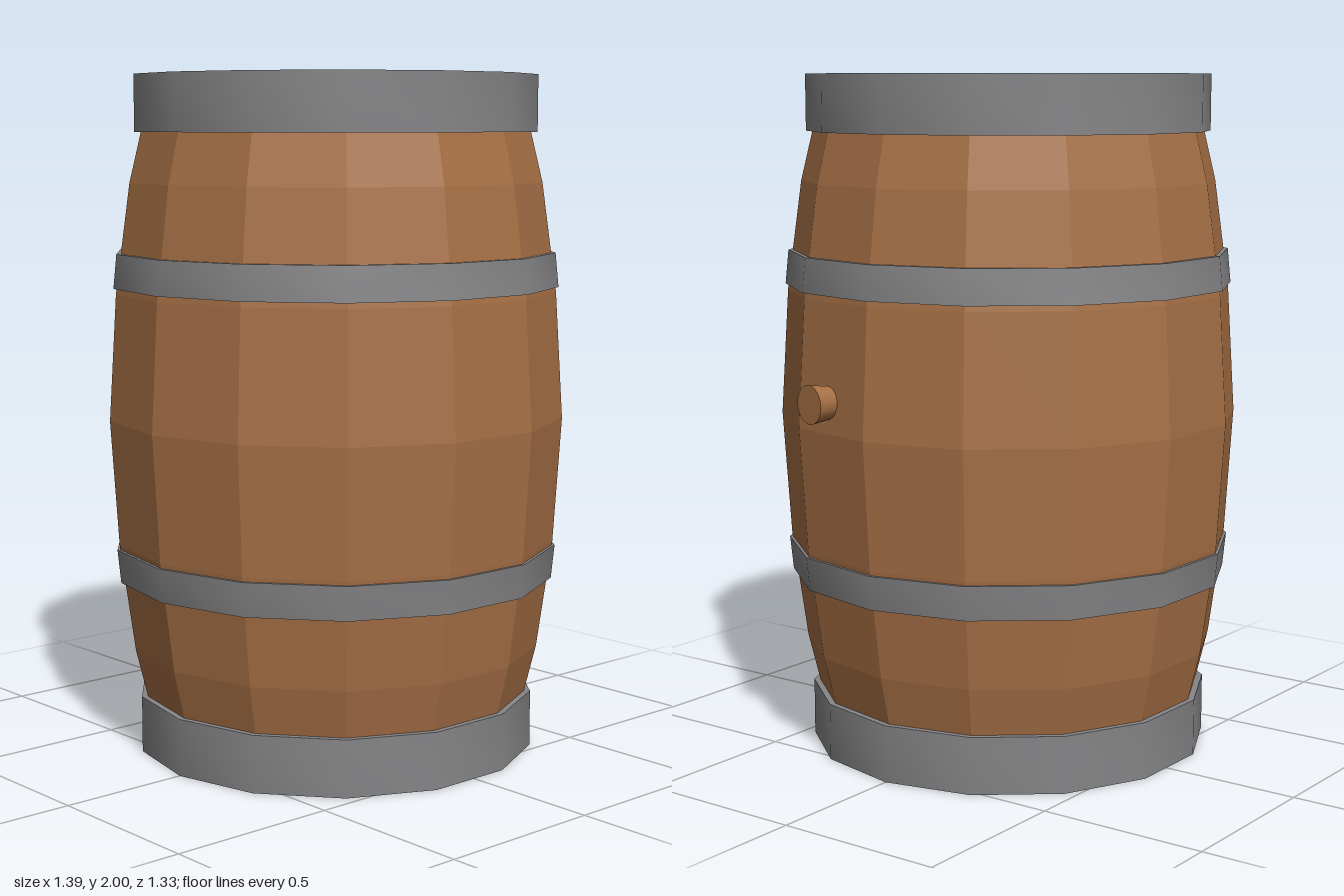
import * as THREE from 'three';
import { toCreasedNormals } from 'three/addons/utils/BufferGeometryUtils.js';

const SIDES = 14;

// Fourteen-sided lathe with a corner pointing along +x
function turned(points) {
  return new THREE.LatheGeometry(points.map(([r, y]) => new THREE.Vector2(r, y)), SIDES, Math.PI / 2);
}

export function createModel() {
  const wood = new THREE.MeshStandardMaterial({ color: 0xa87146, flatShading: true });
  wood.name = 'wood';
  const iron = new THREE.MeshStandardMaterial({ color: 0x858587 });
  iron.name = 'iron';

  const barrel = new THREE.Group();
  barrel.name = 'barrel';

  function add(name, geometry, material) {
    const mesh = new THREE.Mesh(geometry, material);
    mesh.name = name;
    barrel.add(mesh);
    return mesh;
  }

  // Bulging staves with the recessed heads at both ends
  add('staves', turned([
    [0, 0.04], [0.55, 0.04], [0.578, 0.165], [0.613, 0.31], [0.657, 0.63],
    [0.68, 1], [0.657, 1.37], [0.613, 1.69], [0.578, 1.835], [0.55, 1.94], [0, 1.94],
  ]), wood);

  // Closed hoop profile: bottom and top outer radii, then inner radii
  function hoop(name, y0, y1, outer0, outer1, inner0, inner1) {
    const geometry = turned([
      [inner0, y0], [outer0, y0], [outer1, y1], [inner1, y1], [inner0, y0],
    ]);
    add(name, toCreasedNormals(geometry, 0.55), iron);
  }
  hoop('bottomRim', 0, 0.168, 0.597, 0.597, 0.543, 0.543);
  hoop('lowerHoop', 0.518, 0.618, 0.654, 0.664, 0.62, 0.63);
  hoop('upperHoop', 1.386, 1.486, 0.664, 0.654, 0.63, 0.62);
  hoop('topRim', 1.835, 2, 0.597, 0.597, 0.543, 0.543);

  // Tapered bung set square to one stave
  const direction = new THREE.Vector3(Math.cos(Math.PI / SIDES), 0, Math.sin(Math.PI / SIDES));
  const bungWood = new THREE.MeshStandardMaterial({ color: 0xa87146 });
  bungWood.name = 'bungWood';
  const bung = add('bung', new THREE.CylinderGeometry(0.056, 0.042, 0.1, 24), bungWood);
  bung.quaternion.setFromUnitVectors(new THREE.Vector3(0, 1, 0), direction);
  bung.position.set(0.697, 1.088, 0.18).addScaledVector(direction, -0.05);

  // The bung sticks out to +x, so the body sits slightly to the other side
  for (const part of barrel.children) part.position.x -= 0.017;

  const model = new THREE.Group();
  model.name = 'woodenBarrel';
  model.add(barrel);
  return model;
}
